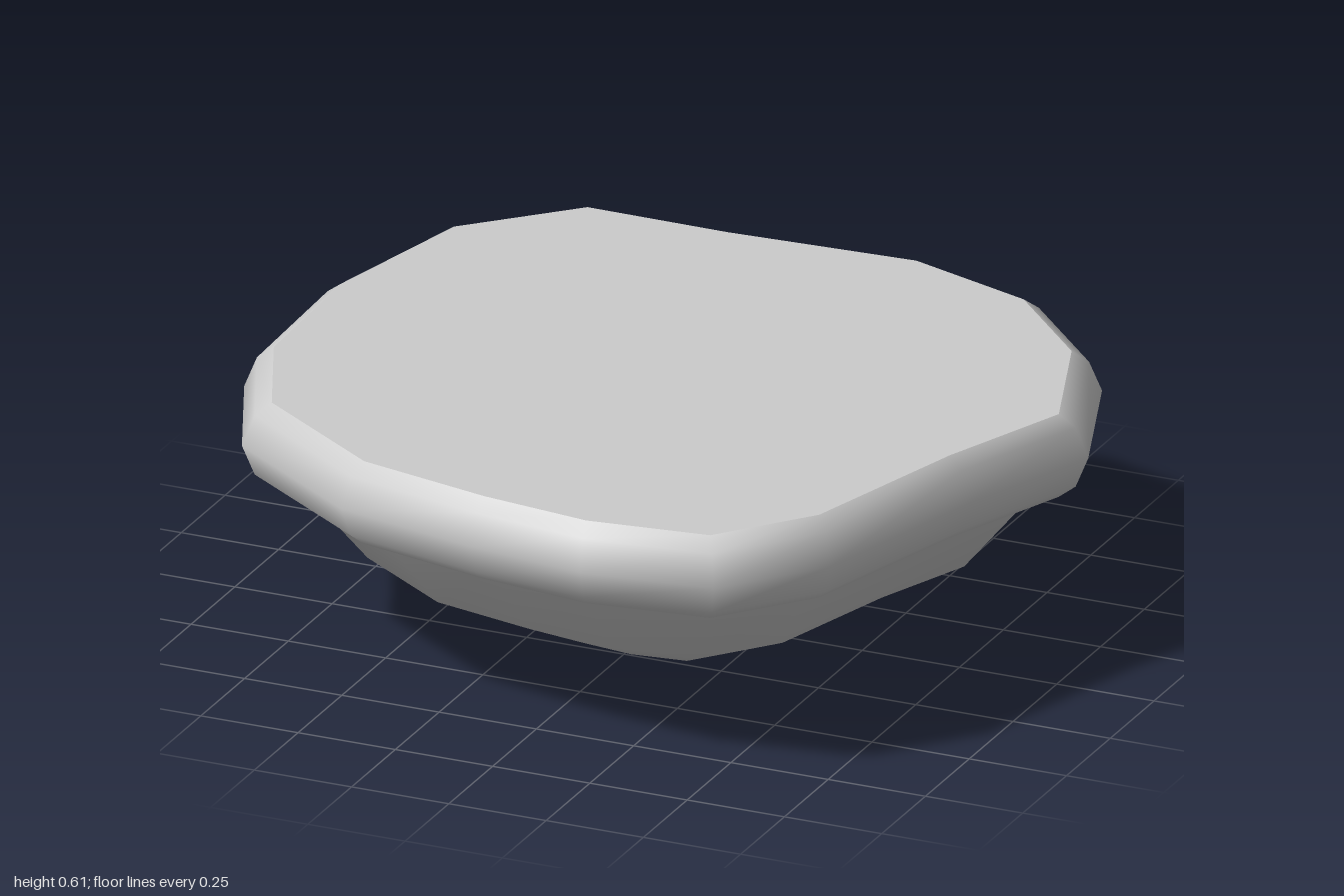
import * as THREE from 'three';

// Irregular outline [x, z], running from +x towards +z
const OUTLINE = [
  [1, -0.18], [0.86, 0.18], [0.72, 0.67], [0.525, 0.905],
  [0.2, 0.945], [-0.1, 0.905], [-0.47, 0.82], [-0.84, 0.565],
  [-0.985, 0.23], [-1, -0.22], [-0.895, -0.675], [-0.64, -0.93],
  [-0.25, -0.925], [0.26, -0.95], [0.61, -0.83], [0.86, -0.57],
];

// Lofts scaled copies of the outline; profile is [scale, y] from bottom to top
function loft(name, profile, material) {
  const n = OUTLINE.length;
  const positions = [];
  const index = [];
  profile.forEach(([scale, y], row) => {
    OUTLINE.forEach(([x, z], i) => {
      positions.push(x * scale, y, z * scale);
      if (row === profile.length - 1) return;
      const a = row * n + i;
      const b = row * n + ((i + 1) % n);
      const c = a + n;
      const d = b + n;
      // Skip the collapsed triangles where a ring shrinks to a point
      if (scale > 0) index.push(a, c, b);
      if (profile[row + 1][0] > 0) index.push(b, c, d);
    });
  });
  const geometry = new THREE.BufferGeometry();
  geometry.setAttribute('position', new THREE.Float32BufferAttribute(positions, 3));
  geometry.setIndex(index);
  geometry.computeVertexNormals();
  const mesh = new THREE.Mesh(geometry, material);
  mesh.name = name;
  return mesh;
}

export function createModel() {
  const group = new THREE.Group();
  group.name = 'floatingSlab';
  const grey = new THREE.MeshStandardMaterial({ color: 0xcccccc });

  // Rounded rim and its flat faces, kept apart so the flats shade flat
  group.add(
    loft('rim', [[0.93, 0.4], [0.97, 0.43], [1, 0.505], [0.97, 0.58], [0.93, 0.61]], grey),
    loft('topSurface', [[0.93, 0.61], [0, 0.61]], grey),
    loft('rimUnderside', [[0, 0.4], [0.93, 0.4]], grey),
  );

  // Tapering underside coming down to a blunt point
  group.add(loft('underside', [[0, 0], [0.42, 0.07], [0.705, 0.2], [0.87, 0.4]], grey));

  return group;
}
